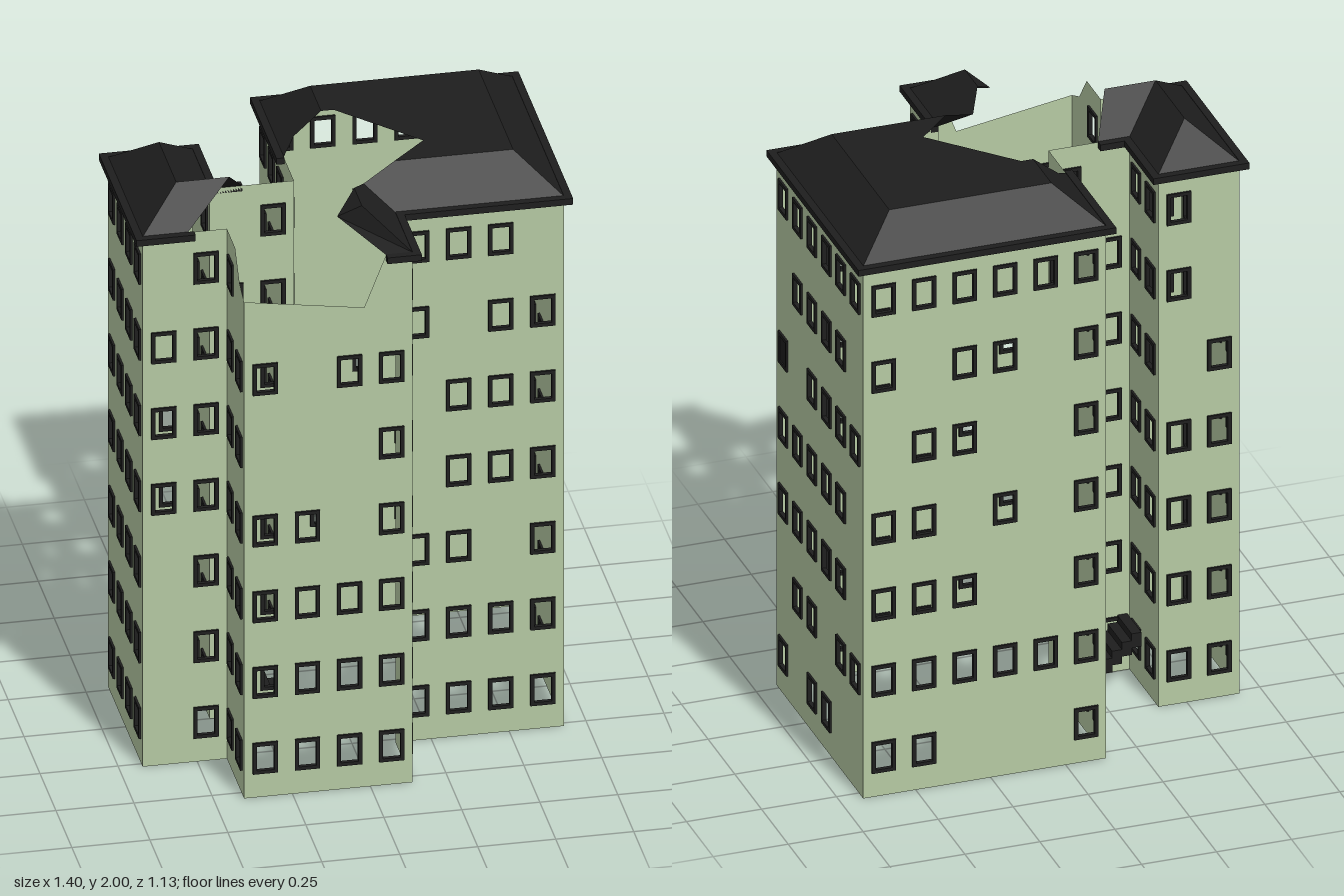
import * as THREE from 'three';
import { mergeGeometries } from 'three/addons/utils/BufferGeometryUtils.js';

const M = 0.135;               // wall module: one window bay
const EAVE = 1.89, TOP = 2.0;  // wall top and roof top
const OUT = 0.025;             // eave overhang
const rowY = r => 0.14 + 0.27 * r;

const wallMat = new THREE.MeshStandardMaterial({ color: 0xb5c9a3, side: THREE.DoubleSide });
const roofMat = new THREE.MeshStandardMaterial({ color: 0x1e1e1e, side: THREE.DoubleSide, flatShading: true });
const frameMat = new THREE.MeshStandardMaterial({ color: 0x1e1e1e });

const all = (s, ...changes) => {
  const rows = Array(7).fill(s);
  changes.forEach(([r, v]) => { rows[r] = v; });
  return rows;
};

// Walls run counterclockwise round the plan, so local +z faces outwards.
// rows: window bays from the ground up; eave: [from, to]; top: broken upper edge
const WALLS = [
  { name: 'leftWingFront', a: [-0.675, 0.27], b: [-0.405, 0.27],
    rows: ['01', '01', '01', '11', '11', '11', '01'], eave: [-OUT, 0.165] },
  { name: 'centreLeftSide', a: [-0.405, 0.27], b: [-0.405, 0.54],
    rows: all('11', [6, '10']), top: [[0, EAVE], [0.13, EAVE], [0.2, 1.8], [0.27, 1.77]] },
  { name: 'centreFront', a: [-0.405, 0.54], b: [0.135, 0.54],
    rows: ['1111', '1111', '1111', '1101', '0001', '1011', '0000'], eave: [0.455, 0.54 + OUT],
    top: [[0, 1.77], [0.385, 1.71], [0.455, EAVE], [0.54, EAVE]] },
  { name: 'centreRightSide', a: [0.135, 0.54], b: [0.135, 0.27],
    rows: all('11', [1, '10']), eave: [-OUT, 0.27] },
  { name: 'mainFront', a: [0.135, 0.27], b: [0.675, 0.27],
    rows: ['1111', '1111', '1101', '0111', '0111', '1011', '1110'], eave: [0, 0.54 + OUT] },
  { name: 'mainRightSide', a: [0.675, 0.27], b: [0.675, -0.54],
    rows: ['101100', '011011', '111110', '111110', '101111', '011110', '111111'], eave: [-OUT, 0.81 + OUT],
    shut: [4, 0] },
  { name: 'mainBack', a: [0.675, -0.54], b: [-0.135, -0.54],
    rows: ['110001', '111111', '111001', '110101', '011001', '101101', '111111'], eave: [-OUT, 0.81 + OUT] },
  { name: 'mainLeftSide', a: [-0.135, -0.54], b: [-0.135, 0],
    rows: all('1111', [0, '1110']), eave: [-OUT, 0.39] },
  { name: 'recessBack', a: [-0.135, 0], b: [-0.405, 0],
    rows: all('11', [6, '10']), eave: [0.165, 0.27] },
  { name: 'leftWingInnerSide', a: [-0.405, 0], b: [-0.405, -0.27],
    rows: all('11'), eave: [0, 0.27 + OUT] },
  { name: 'leftWingBack', a: [-0.405, -0.27], b: [-0.675, -0.27],
    rows: all('11', [4, '01'], [5, '10'], [6, '10']), eave: [-OUT, 0.27 + OUT] },
  { name: 'leftWingLeftSide', a: [-0.675, -0.27], b: [-0.675, 0.27],
    rows: all('1111'), eave: [-OUT, 0.54 + OUT] },
];

function rect(PathType, cx, cy, w, h) {
  return new PathType([[-1, -1], [1, -1], [1, 1], [-1, 1]].map(
    ([i, j]) => new THREE.Vector2(cx + i * w / 2, cy + j * h / 2)));
}

function box(w, h, d, x, y, z) {
  return new THREE.BoxGeometry(w, h, d).translate(x, y, z);
}

function buildWall({ name, a, b, rows, eave, top, shut }) {
  const g = new THREE.Group();
  g.name = name;
  const dx = b[0] - a[0], dz = b[1] - a[1], len = Math.hypot(dx, dz);
  g.position.set(a[0], 0, a[1]);
  g.rotation.y = Math.atan2(-dz, dx);

  // pierced wall sheet and its window frames
  const edge = top || [[0, EAVE], [len, EAVE]];
  const shape = new THREE.Shape([[0, 0], [len, 0], ...[...edge].reverse()].map(p => new THREE.Vector2(...p)));
  const frames = [];
  rows.forEach((row, r) => [...row].forEach((c, i) => {
    if (c !== '1') return;
    const u = (i + 0.5) * M, y = rowY(r);
    shape.holes.push(rect(THREE.Path, u, y, 0.06, 0.09));
    const f = rect(THREE.Shape, u, y, 0.08, 0.11);
    f.holes.push(rect(THREE.Path, u, y, 0.056, 0.086));
    frames.push(new THREE.ExtrudeGeometry(f, { depth: 0.014, bevelEnabled: false }).translate(0, 0, -0.007));
  }));
  const sheet = new THREE.Mesh(new THREE.ShapeGeometry(shape), wallMat);
  sheet.name = name + 'Wall';
  const trim = new THREE.Mesh(mergeGeometries(frames), frameMat);
  trim.name = name + 'WindowFrames';
  g.add(sheet, trim);

  // boarded window
  if (shut) {
    const board = new THREE.Mesh(box(0.06, 0.09, 0.006, (shut[1] + 0.5) * M, rowY(shut[0]), 0), frameMat);
    board.name = 'windowBoard';
    g.add(board);
  }
  // eave board
  if (eave) {
    const e = new THREE.Mesh(box(eave[1] - eave[0], 0.022, OUT, (eave[0] + eave[1]) / 2, EAVE - 0.009, OUT / 2), frameMat);
    e.name = name + 'Eave';
    g.add(e);
  }
  return g;
}

// Roof slopes as [x, z, y] corners; those round the collapsed hole are ragged
const ROOF = {
  leftWingOuterSlope: [[-0.675, -0.27, EAVE], [-0.675, 0.27, EAVE], [-0.54, 0.135, TOP], [-0.54, -0.135, TOP]],
  leftWingBackHip: [[-0.675, -0.27, EAVE], [-0.54, -0.135, TOP], [-0.405, -0.27, EAVE]],
  leftWingInnerSlope: [[-0.405, -0.27, EAVE], [-0.54, -0.135, TOP], [-0.54, 0.135, TOP], [-0.405, 0, EAVE]],
  recessSlope: [[-0.405, 0, EAVE], [-0.54, 0.135, TOP], [-0.37, 0.135, TOP], [-0.3, 0, EAVE]],
  leftWingFrontSlope: [[-0.675, 0.27, EAVE], [-0.53, 0.27, EAVE], [-0.37, 0.135, TOP], [-0.54, 0.135, TOP]],
  mainBackSlope: [[-0.135, -0.54, EAVE], [0.675, -0.54, EAVE], [0.54, -0.405, TOP], [0, -0.405, TOP]],
  mainRightSlope: [[0.675, -0.54, EAVE], [0.675, 0.27, EAVE], [0.54, 0.135, TOP], [0.54, -0.405, TOP]],
  mainLeftSlope: [[-0.135, -0.54, EAVE], [0, -0.405, TOP], [0, -0.235, TOP], [-0.09, -0.222, 1.927], [-0.135, -0.16, EAVE]],
  mainFlatTop: [[0, -0.405, TOP], [0.54, -0.405, TOP], [0.54, 0.135, TOP], [0.16, 0.135, TOP],
    [0.275, 0.02, TOP], [0.04, -0.235, TOP], [0, -0.235, TOP]],
  mainFrontSlope: [[0.135, 0.27, EAVE], [0.675, 0.27, EAVE], [0.54, 0.135, TOP], [0.16, 0.135, TOP], [0.05, 0.187, 1.958]],
  centreRightSlope: [[0.135, 0.27, EAVE], [0.05, 0.187, 1.958], [0, 0.285, TOP], [0, 0.405, TOP], [0.135, 0.54, EAVE]],
  centreSplinter: [[0, 0.285, TOP], [0, 0.405, TOP], [-0.07, 0.36, 1.945]],
  centreFrontSlope: [[0.135, 0.54, EAVE], [0, 0.405, TOP], [-0.07, 0.36, 1.945], [0.05, 0.54, EAVE]],
};

function buildSlope(name, pts) {
  // keep the corners in the order that faces upwards
  if (THREE.ShapeUtils.area(pts.map(p => ({ x: p[0], y: -p[1] }))) < 0) pts = [...pts].reverse();
  const tris = THREE.ShapeUtils.triangulateShape(pts.map(p => new THREE.Vector2(p[0], -p[1])), []);
  const geo = new THREE.BufferGeometry();
  geo.setAttribute('position', new THREE.Float32BufferAttribute(pts.flatMap(([x, z, y]) => [x, y, z]), 3));
  geo.setIndex(tris.flat());
  geo.computeVertexNormals();
  const mesh = new THREE.Mesh(geo, roofMat);
  mesh.name = name;
  return mesh;
}

export function createModel() {
  const model = new THREE.Group();
  model.name = 'ruinedApartmentBlock';
  WALLS.forEach(w => model.add(buildWall(w)));

  const roof = new THREE.Group();
  roof.name = 'roof';
  Object.entries(ROOF).forEach(([n, p]) => roof.add(buildSlope(n, p)));
  model.add(roof);

  // steps in the recess, climbing towards the left wing
  const steps = [];
  for (let i = 0; i < 8; i++) {
    const y = 0.025 * (i + 1), h = Math.min(y, 0.05);
    steps.push(box(0.033, h, 0.135, -0.153 - i * 0.0325, y - h / 2, -0.0685));
  }
  const stair = new THREE.Mesh(mergeGeometries(steps), frameMat);
  stair.name = 'entranceSteps';
  model.add(stair);
  return model;
}
